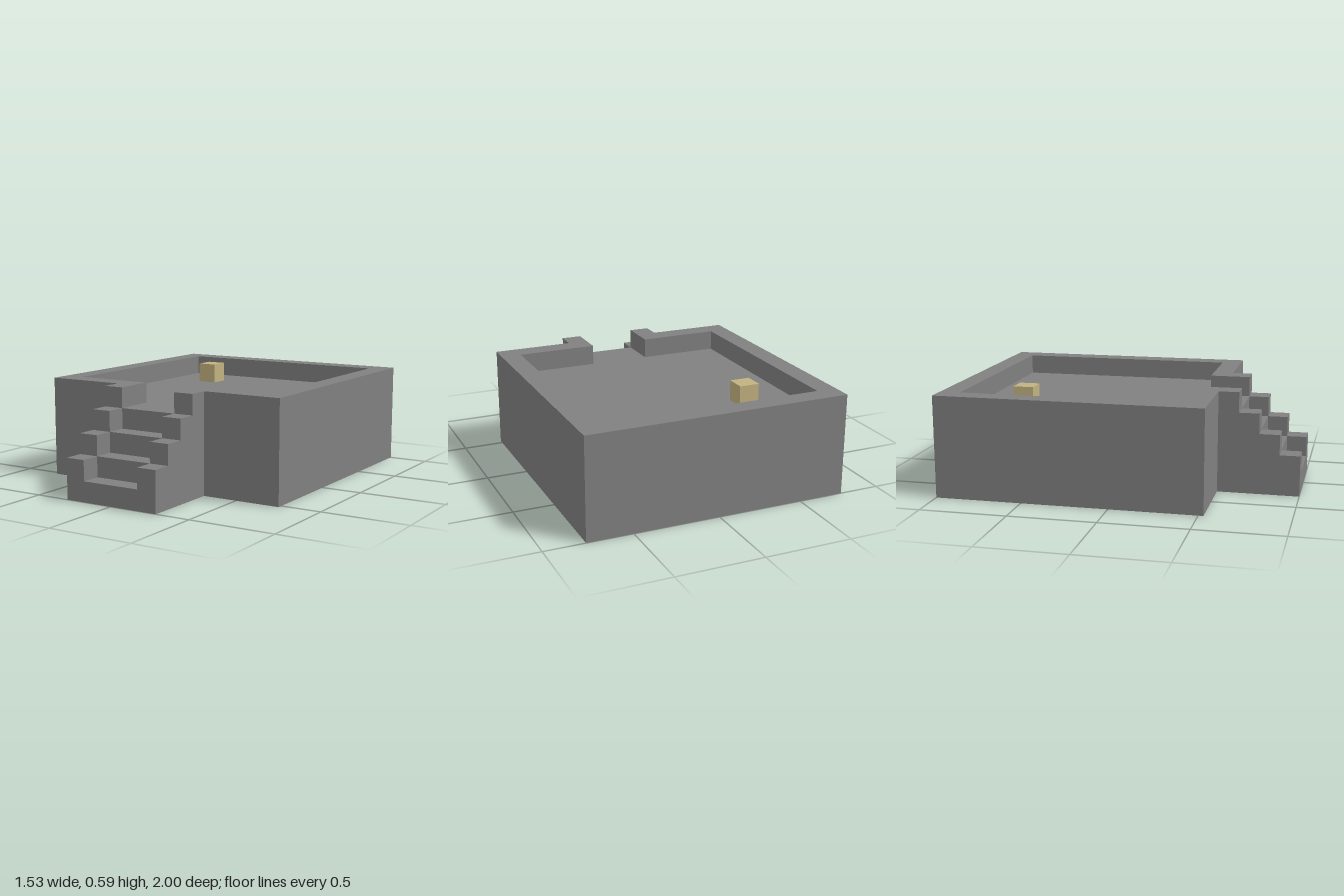
import * as THREE from 'three';

const U = 2 / 17; // one block of the layout grid

const stone = new THREE.MeshStandardMaterial({ color: 0x808080 });
stone.name = 'stone grey';
const sand = new THREE.MeshStandardMaterial({ color: 0xc2b280 });
sand.name = 'sand';

function shapeOf(points) {
  return new THREE.Shape(points.map(([a, b]) => new THREE.Vector2(a * U, b * U)));
}

function extrude(points, depth) {
  return new THREE.ExtrudeGeometry(shapeOf(points), { depth: depth * U, bevelEnabled: false });
}

// Stepped side profile (z, y), falling one block per block from the deck front
function stairGeometry(topHeight, width, xCentre) {
  const points = [[4.5, 0]];
  for (let i = 0; i < 4; i++) {
    points.push([4.5 + i, topHeight - i], [5.5 + i, topHeight - i]);
  }
  points.push([8.5, 0]);
  const geometry = extrude(points, width);
  geometry.rotateY(-Math.PI / 2); // profile runs along z, depth along -x
  geometry.translate((xCentre + width / 2) * U, 0, 0);
  return geometry;
}

export function createModel() {
  const model = new THREE.Group();
  model.name = 'walledPlatform';

  const add = (name, geometry, material) => {
    const mesh = new THREE.Mesh(geometry, material);
    mesh.name = name;
    model.add(mesh);
    return mesh;
  };

  // Solid square deck
  const deck = add('deck', new THREE.BoxGeometry(13 * U, 4 * U, 13 * U), stone);
  deck.position.set(0, 2 * U, -2 * U);

  // Low wall around the deck, open at the front where the stairs arrive (x, -z)
  const wall = extrude([
    [-6.5, -4.5], [-1.5, -4.5], [-1.5, -3.5], [-5.5, -3.5], [-5.5, 7.5], [5.5, 7.5],
    [5.5, -3.5], [1.5, -3.5], [1.5, -4.5], [6.5, -4.5], [6.5, 8.5], [-6.5, 8.5],
  ], 1);
  wall.rotateX(-Math.PI / 2);
  add('parapetWall', wall, stone).position.y = 4 * U;

  // Stairs between two stepped side walls
  add('stairs', stairGeometry(4, 3, 0), stone);
  for (const side of [-1, 1]) {
    add(side > 0 ? 'leftStairWall' : 'rightStairWall', stairGeometry(5, 1, side * 2), stone);
  }

  // Small block standing on the deck
  const block = add('sandBlock', new THREE.BoxGeometry(U, U, U), sand);
  block.position.set(-3 * U, 4.5 * U, -5 * U);

  return model;
}
